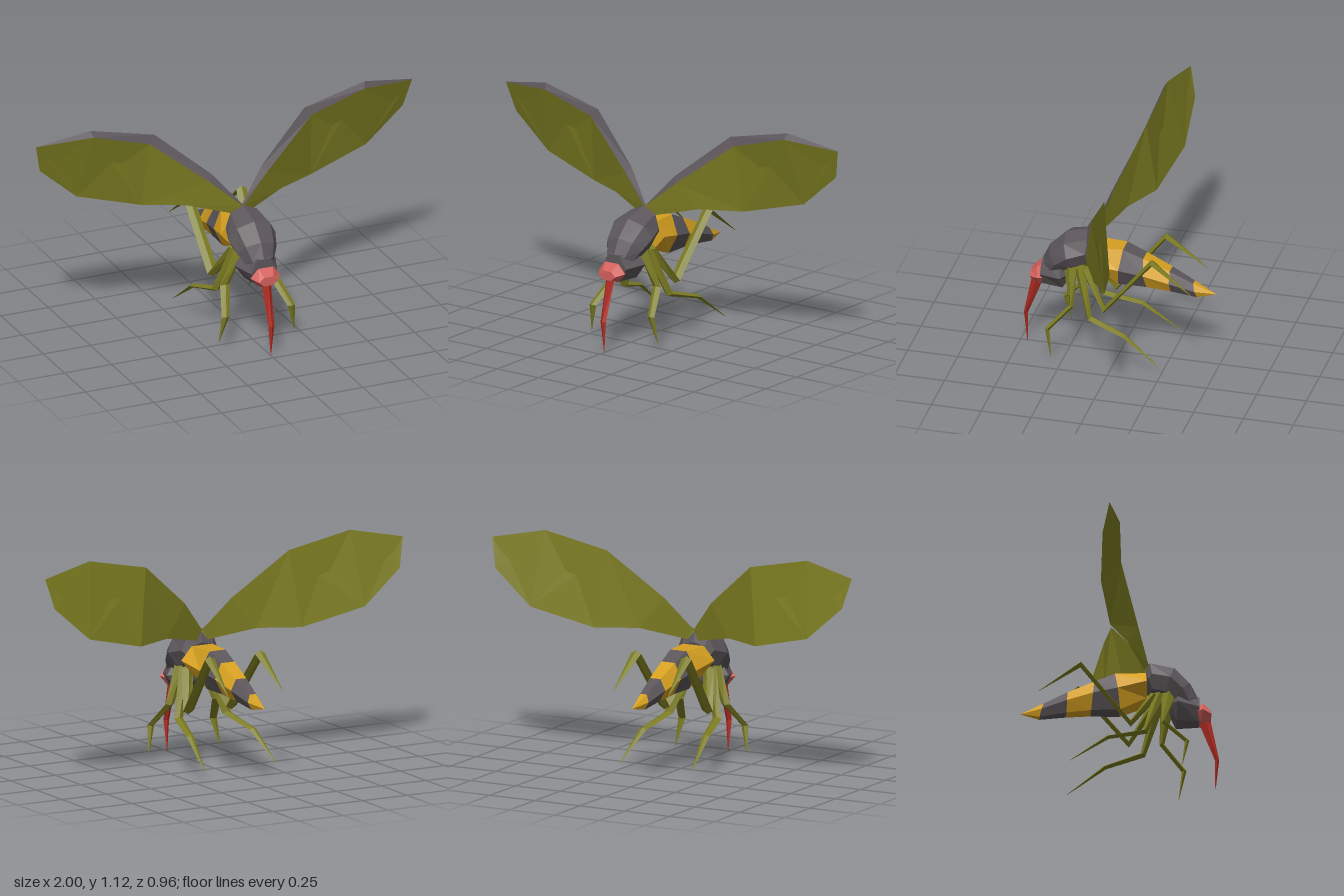
import * as THREE from 'three';

const mat = (name, color, double) => {
  const m = new THREE.MeshStandardMaterial({ color, flatShading: true });
  m.name = name;
  if (double) m.side = THREE.DoubleSide;
  return m;
};

function meshFrom(name, tris, material) {
  const g = new THREE.BufferGeometry().setFromPoints(tris);
  g.computeVertexNormals();
  const mesh = new THREE.Mesh(g, material);
  mesh.name = name;
  return mesh;
}

// Ring: [topY, topZ, bottomY, bottomZ, halfWidth, centreX]
function ringPoints([ty, tz, by, bz, w, cx = 0], sides) {
  const pts = [];
  const stretch = sides === 6 ? 1 / Math.sin(Math.PI / 3) : 1;
  for (let i = 0; i < sides; i++) {
    const a = (i / sides) * Math.PI * 2;
    const s = Math.sin(a) * stretch * 0.5;
    pts.push(new THREE.Vector3(cx + Math.cos(a) * w,
      (ty + by) / 2 + s * (ty - by), (tz + bz) / 2 + s * (tz - bz)));
  }
  return pts;
}

// Skin through rings, listed back to front
function loft(name, rings, sides, material) {
  const R = rings.map(r => ringPoints(r, sides));
  const tris = [];
  for (let k = 0; k < R.length - 1; k++) {
    for (let i = 0; i < sides; i++) {
      const j = (i + 1) % sides, a = R[k], b = R[k + 1];
      tris.push(a[i], a[j], b[j], a[i], b[j], b[i]);
    }
  }
  const first = R[0], last = R[R.length - 1];
  for (let i = 1; i < sides - 1; i++) {
    tris.push(first[0], first[i + 1], first[i], last[0], last[i], last[i + 1]);
  }
  return meshFrom(name, tris, material);
}

// Tapered jointed limb through points [x, y, z, thickness, halfWidth]
function limb(name, pts, material) {
  const dir = (a, b) => new THREE.Vector2(b[1] - a[1], b[2] - a[2]).normalize();
  const rings = pts.map((p, i) => {
    const t = new THREE.Vector2();
    if (i > 0) t.add(dir(pts[i - 1], p));
    if (i < pts.length - 1) t.add(dir(p, pts[i + 1]));
    t.normalize();
    const ny = t.y * p[3], nz = -t.x * p[3];
    return [p[1] + ny, p[2] + nz, p[1] - ny, p[2] - nz, p[4], p[0]];
  });
  return loft(name, rings, 4, material);
}

export function createModel() {
  const group = new THREE.Group();
  group.name = 'flyingInsect';
  const grey = mat('charcoal', 0x5c565a);
  const yellow = mat('amber', 0xd6a020);
  const olive = mat('olive', 0x7c7c22);
  const wingOlive = olive.clone();
  wingOlive.side = THREE.DoubleSide;
  wingOlive.name = 'wingOlive';
  const wingGrey = mat('wingCharcoal', 0x5c565a, true);
  const pink = mat('coral', 0xd4605c);
  const red = mat('red', 0xb02c22);

  // Striped abdomen, tail to waist
  const rings = [
    [0.401, -0.48, 0.399, -0.48, 0.002],
    [0.452, -0.37, 0.38, -0.39, 0.035],
    [0.508, -0.255, 0.4, -0.26, 0.058],
    [0.565, -0.125, 0.412, -0.14, 0.075],
    [0.605, -0.025, 0.415, 0.0, 0.09],
    [0.605, 0.125, 0.472, 0.13, 0.115],
  ];
  for (let i = 0; i < rings.length - 1; i++) {
    group.add(loft('abdomenStripe' + (i + 1), [rings[i], rings[i + 1]], 6, i % 2 ? grey : yellow));
  }

  // Humped thorax
  group.add(loft('thorax', [
    [0.62, 0.12, 0.5, 0.15, 0.085],
    [0.68, 0.14, 0.485, 0.165, 0.1],
    [0.645, 0.27, 0.47, 0.21, 0.125],
    [0.565, 0.35, 0.45, 0.25, 0.105],
    [0.49, 0.385, 0.42, 0.28, 0.075],
  ], 8, grey));

  // Head, snout and piercing mouthpart
  group.add(loft('head', [
    [0.48, 0.24, 0.4, 0.25, 0.06],
    [0.51, 0.28, 0.36, 0.275, 0.11],
    [0.49, 0.385, 0.36, 0.385, 0.07],
  ], 6, grey));
  group.add(loft('snout', [
    [0.435, 0.365, 0.37, 0.365, 0.055],
    [0.455, 0.405, 0.36, 0.395, 0.078],
    [0.42, 0.443, 0.375, 0.443, 0.05],
  ], 6, pink));
  group.add(limb('proboscis', [
    [0, 0.385, 0.41, 0.03, 0.025],
    [0, 0.17, 0.473, 0.01, 0.016],
    [0, 0.015, 0.465, 0.001, 0.001],
  ], red));

  // Three pairs of legs
  const legs = {
    frontLeg: [[0.06, 0.5, 0.235, 0.035, 0.03], [0.13, 0.31, 0.21, 0.012, 0.025],
      [0.175, 0.19, 0.32, 0.012, 0.02], [0.2, 0.05, 0.295, 0.001, 0.001]],
    middleLeg: [[0.06, 0.49, 0.19, 0.028, 0.03], [0.135, 0.255, 0.118, 0.015, 0.025],
      [0.175, 0.203, -0.065, 0.01, 0.02], [0.2, 0.065, -0.25, 0.001, 0.001]],
    hindLeg: [[0.06, 0.485, 0.165, 0.022, 0.03], [0.12, 0.305, 0.048, 0.018, 0.03],
      [0.14, 0.607, -0.195, 0.016, 0.028], [0.152, 0.455, -0.4, 0.001, 0.001]],
  };
  // Wing edges from root to tip: front and back of the leading edge, then trailing edge
  const lead = [[0, 0.675, 0.14], [0.15, 0.805, 0.085], [0.43, 1.02, -0.01], [0.72, 1.1, -0.028], [1, 1.075, -0.088]];
  const crest = [[0, 0.68, 0.125], [0.13, 0.835, 0.065], [0.4, 1.06, -0.025], [0.73, 1.13, -0.047], [1, 1.077, -0.09]];
  const trail = [[0.03, 0.63, 0.12], [0.25, 0.68, 0.03], [0.45, 0.68, -0.065], [0.77, 0.76, -0.122], [0.965, 0.93, -0.122]];

  for (const [side, s] of [['left', 1], ['right', -1]]) {
    for (const [name, pts] of Object.entries(legs)) {
      group.add(limb(side + name[0].toUpperCase() + name.slice(1),
        pts.map(([x, ...rest]) => [x * s, ...rest]), olive));
    }
    const sheet = (name, A, B, material) => {
      const v = p => new THREE.Vector3(p[0] * s, p[1], p[2]);
      const tris = [];
      for (let i = 0; i < A.length - 1; i++) {
        const q = [A[i], B[i], B[i + 1], A[i], B[i + 1], A[i + 1]].map(v);
        if (s < 0) q.reverse();
        tris.push(...q);
      }
      group.add(meshFrom(side + name, tris, material));
    };
    sheet('WingFront', lead, trail, wingOlive);
    sheet('WingBack', trail, crest, wingOlive);
    sheet('WingLeadingEdge', crest, lead, wingGrey);
  }
  return group;
}
